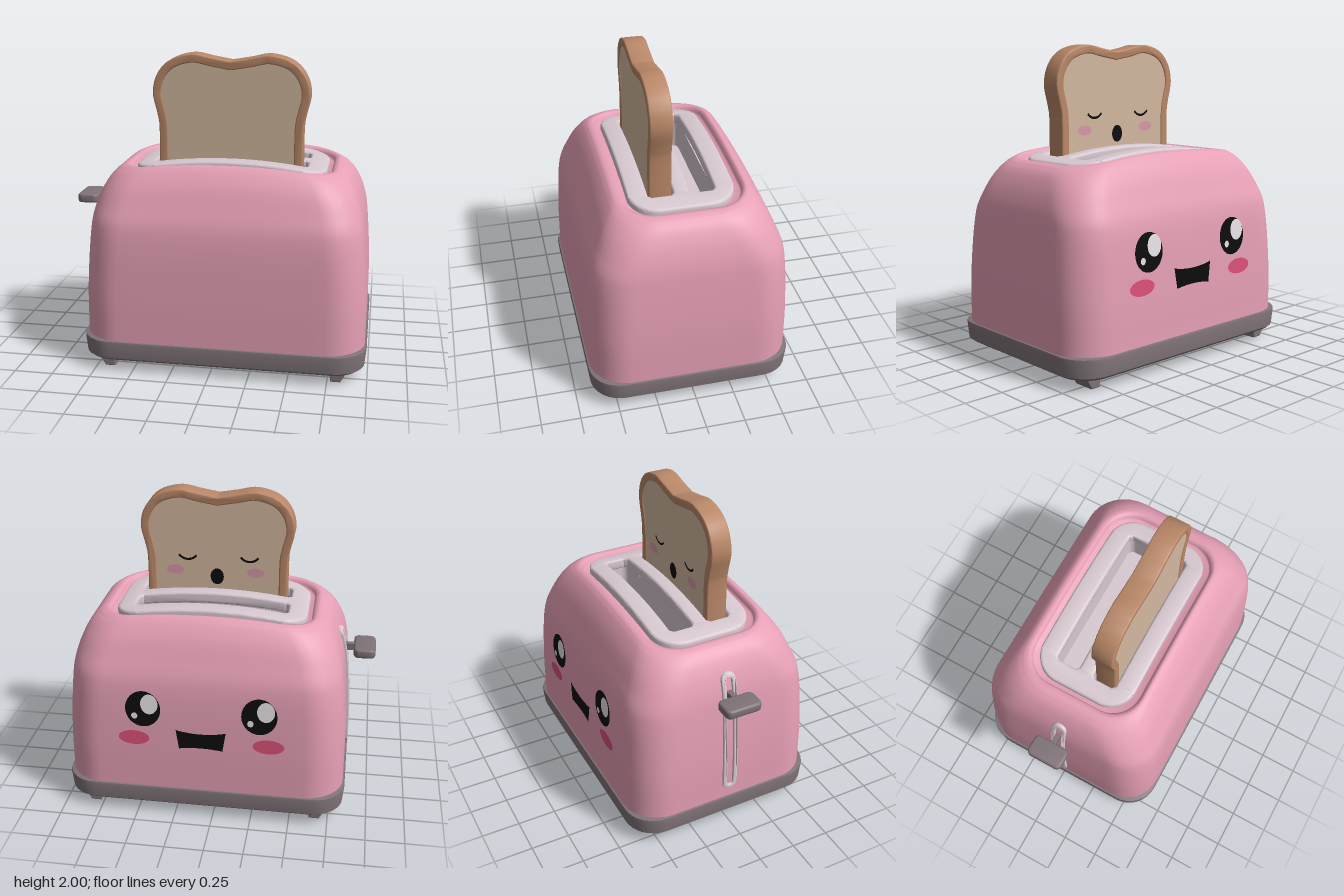
import * as THREE from 'three';
import { toCreasedNormals } from 'three/addons/utils/BufferGeometryUtils.js';

const mat = (name, color, side = THREE.FrontSide) => {
  const m = new THREE.MeshStandardMaterial({ color, side });
  m.name = name;
  return m;
};

const CX = 0.07; // the housing sits slightly off centre because of the lever
const V2 = (x, y) => new THREE.Vector2(x, y);

// Rounded rectangle outline with subdivided edges, counter-clockwise
function roundRect(hx, hy, r, edge = 14, corner = 8) {
  const pts = [];
  const centres = [[1, 1], [-1, 1], [-1, -1], [1, -1]];
  centres.forEach(([sx, sy], q) => {
    for (let i = 0; i <= corner; i++) {
      const a = (q + i / corner) * Math.PI / 2;
      pts.push(V2(sx * (hx - r) + r * Math.cos(a), sy * (hy - r) + r * Math.sin(a)));
    }
    const last = pts[pts.length - 1];
    const [nx, ny] = centres[(q + 1) % 4];
    const a = (q + 1) * Math.PI / 2;
    const next = V2(nx * (hx - r) + r * Math.cos(a), ny * (hy - r) + r * Math.sin(a));
    for (let i = 1; i < edge; i++) pts.push(last.clone().lerp(next, i / edge));
  });
  return pts;
}

// Skin over rounded-rectangle rings [hx, y, hz, r]; sag(x, y) lowers points
function loft(rings, { bottom = false, sag = () => 0 } = {}) {
  const pos = [], idx = [];
  let n = 0;
  rings.forEach(([hx, y, hz, r]) => {
    const pts = roundRect(hx, hz, r);
    n = pts.length;
    pts.forEach(p => pos.push(p.x, y - sag(p.x, y), p.y));
  });
  for (let j = 0; j < rings.length - 1; j++) for (let i = 0; i < n; i++) {
    const a = j * n + i, b = j * n + (i + 1) % n;
    idx.push(a, a + n, b, b, a + n, b + n);
  }
  if (bottom) {
    const c = pos.length / 3;
    pos.push(0, rings[0][1], 0);
    for (let i = 0; i < n; i++) idx.push(c, i, (i + 1) % n);
  }
  const g = new THREE.BufferGeometry();
  g.setAttribute('position', new THREE.Float32BufferAttribute(pos, 3));
  g.setIndex(idx);
  g.computeVertexNormals();
  return g;
}

// Move every vertex by a rule
function warp(g, rule) {
  const p = g.attributes.position, v = new THREE.Vector3();
  for (let i = 0; i < p.count; i++) {
    v.fromBufferAttribute(p, i);
    rule(v);
    p.setXYZ(i, v.x, v.y, v.z);
  }
  g.computeVertexNormals();
  return g;
}

// Extrusion with rounded edges that keeps the outline's size
const softExtrude = (shape, depth, b, curveSegments = 12) => new THREE.ExtrudeGeometry(shape, {
  depth: depth - 2 * b, bevelThickness: b, bevelSize: b, bevelOffset: -b, bevelSegments: 3, curveSegments,
}).translate(0, 0, b);

// Housing side profile: half width, height, half depth
const profile = new THREE.CatmullRomCurve3([
  [0.907, 0.19, 0.647], [0.903, 0.55, 0.641], [0.872, 0.95, 0.611], [0.847, 1.1, 0.56],
  [0.808, 1.22, 0.508], [0.762, 1.3, 0.455], [0.72, 1.328, 0.425],
].map(p => new THREE.Vector3(...p))).getPoints(40);

function profileAt(y) {
  const i = Math.max(1, profile.findIndex(p => p.y >= y));
  const a = profile[i - 1], b = profile[i];
  return a.clone().lerp(b, (y - a.y) / (b.y - a.y));
}
const bow = y => THREE.MathUtils.clamp((y - 0.95) / 0.35, 0, 1);

export function createModel() {
  const root = new THREE.Group();
  root.name = 'toaster';
  const M = {
    pink: mat('pink enamel', 0xe6a0b5),
    grey: mat('warm grey plastic', 0x7f7378),
    chrome: mat('pale metal', 0xd8c9d1, THREE.DoubleSide),
    crust: mat('crust', 0xba8868),
    crumb: mat('crumb', 0xd3b8a0),
    black: mat('black', 0x0b0b0b),
    white: mat('white', 0xf4eef2),
    blush: mat('blush', 0xdc5078),
    softBlush: mat('soft blush', 0xd89aa8),
  };
  const add = (name, geo, material, x = 0, y = 0, z = 0) => {
    const m = new THREE.Mesh(geo, material);
    m.name = name;
    m.position.set(x, y, z);
    root.add(m);
    return m;
  };

  // Housing with a rolled lip around the top plate
  const rings = profile.map(p => [p.x, p.y, p.z, 0.24]);
  rings.push([0.69, 1.337, 0.405, 0.22], [0.665, 1.332, 0.388, 0.2], [0.65, 1.31, 0.378, 0.19],
    [0.645, 1.285, 0.372, 0.19], [0.58, 1.28, 0.3, 0.15]);
  add('housing', loft(rings, { sag: (x, y) => 0.11 * x * x * bow(y) }), M.pink, CX);

  // Base tray
  add('base', toCreasedNormals(loft([[0.885, 0.072, 0.63, 0.18], [0.91, 0.09, 0.65, 0.2], [0.92, 0.19, 0.66, 0.21],
    [0.916, 0.205, 0.656, 0.2], [0.89, 0.212, 0.63, 0.19]], { bottom: true }), 0.5), M.grey, CX);

  // Four feet with a slanted outer side
  for (const sx of [1, -1]) for (const sz of [1, -1]) {
    const pts = [[0.7, 0], [0.765, 0], [0.815, 0.09], [0.7, 0.09]].map(([x, y]) => V2(sx * x, y));
    add('foot', softExtrude(new THREE.Shape(pts), 0.15, 0.008), M.grey, CX, 0, sz * 0.495 - 0.075);
  }

  // Bowed top plate: three long bars joined by two rounded, notched ends
  const bowAt = x => 1.343 - 0.16 * x * x;
  for (const [z, w] of [[-0.335, 0.125], [-0.05, 0.1], [0.21, 0.125]]) {
    const pts = [];
    for (let i = 0; i <= 32; i++) pts.push(V2(0.48 - i * 0.03, bowAt(0.48 - i * 0.03)));
    for (let i = 0; i <= 32; i++) pts.push(V2(-0.48 + i * 0.03, bowAt(-0.48 + i * 0.03) - 0.076));
    add('plateBar', toCreasedNormals(softExtrude(new THREE.Shape(pts), w, 0.016), 0.7), M.chrome, CX, 0, z);
  }
  const end = new THREE.Shape();
  end.moveTo(0.44, -0.335);
  end.absarc(0.44, -0.155, 0.18, -Math.PI / 2, 0);
  end.absarc(0.44, 0.155, 0.18, 0, Math.PI / 2);
  for (const [a, b] of [[0.21, 0.05], [-0.05, -0.21]]) {
    [[0.43, a], [0.475, a], [0.495, a - 0.02], [0.495, b + 0.02], [0.475, b], [0.43, b]].forEach(p => end.lineTo(...p));
  }
  end.lineTo(0.43, -0.335);
  for (const turn of [0, Math.PI]) {
    const g = softExtrude(end, 0.076, 0.016).rotateX(-Math.PI / 2).rotateY(turn);
    warp(g, v => { v.y += bowAt(v.x) - 0.076; });
    add('plateEnd', toCreasedNormals(g, 0.7), M.chrome, CX);
  }
  for (const s of [1, -1]) {
    const well = loft([[0.5, 1.05, 0.085, 0.04], [0.5, 1.255, 0.085, 0.04]], { bottom: true });
    add('slotWell', toCreasedNormals(well, 0.7), M.chrome, CX, 0, s * 0.13);
  }

  // Bread slice: crust ring around a slightly recessed crumb
  const half = new THREE.SplineCurve([[0.465, 1.3], [0.465, 1.53], [0.478, 1.62], [0.505, 1.75], [0.475, 1.87],
    [0.39, 1.96], [0.25, 2.0], [0.12, 1.978], [0, 1.957]].map(p => V2(...p)));
  const outlineAt = d => {
    const pts = [V2(0.465 - d, 1.07)];
    for (let i = 0; i <= 40; i++) {
      const p = half.getPoint(i / 40), t = half.getTangent(i / 40);
      if (i === 40) t.set(-1, 0);
      pts.push(V2(p.x - t.y * d, p.y + t.x * d));
    }
    return pts.concat(pts.slice(0, -1).reverse().map(p => V2(-p.x, p.y)));
  };
  const crust = new THREE.Shape(outlineAt(0));
  const inner = outlineAt(0.055);
  inner[0].y = inner[inner.length - 1].y = 1.1;
  crust.holes.push(new THREE.Path(inner));
  add('crust', toCreasedNormals(softExtrude(crust, 0.14, 0.008), 0.6), M.crust, CX, 0, 0.06);
  const crumbGeo = new THREE.ExtrudeGeometry(new THREE.Shape(outlineAt(0.05)), { depth: 0.126, bevelEnabled: false });
  add('crumb', crumbGeo, M.crumb, CX, 0, 0.067);

  // Thin painted details on the back; u runs to the viewer's right (-x)
  const decal = (name, shape, material, u, y, zAt) => {
    const g = new THREE.ShapeGeometry(shape, 24).translate(u, y, 0).rotateY(Math.PI);
    add(name, warp(g, v => { v.z = zAt(v.y); }), material, CX);
  };
  const ellipse = (rx, ry) => new THREE.Shape().absellipse(0, 0, rx, ry, 0, Math.PI * 2);
  const onBody = lift => y => -profileAt(y).z - lift;
  const onBread = () => 0.063;

  // Housing face
  for (const s of [-1, 1]) {
    decal('eye', ellipse(0.113, 0.122), M.black, s * 0.37, 0.775, onBody(0.007));
    decal('eyeHighlight', ellipse(0.056, 0.068), M.white, s * 0.37 + 0.042, 0.812, onBody(0.012));
    decal('eyeGlint', ellipse(0.02, 0.022), M.white, s * 0.37 - 0.054, 0.728, onBody(0.012));
    decal('cheek', ellipse(0.1, 0.05), M.blush, s * 0.432, 0.568, onBody(0.006));
  }
  const mouth = new THREE.Shape();
  mouth.moveTo(-0.16, 0.063);
  mouth.quadraticCurveTo(0, 0.025, 0.16, 0.063);
  mouth.lineTo(0.14, -0.068);
  mouth.quadraticCurveTo(0, -0.045, -0.14, -0.068);
  decal('mouth', mouth, M.black, 0, 0.58, onBody(0.007));

  // Sleepy bread face
  for (const s of [-1, 1]) {
    const lid = new THREE.Shape();
    lid.absarc(0, 0.055, 0.078, Math.PI * 1.2, Math.PI * 1.8, false);
    lid.absarc(0, 0.058, 0.066, Math.PI * 1.8, Math.PI * 1.2, true);
    decal('breadEyelid', lid, M.black, s * 0.205 + 0.01, 1.545, onBread);
    decal('breadCheek', ellipse(0.058, 0.033), M.softBlush, s * 0.268 - 0.012, 1.453, onBread);
  }
  decal('breadMouth', ellipse(0.044, 0.056), M.black, 0, 1.417, onBread);

  // Lever track following the curve of the side
  const track = new THREE.Shape(roundRect(0.05, 0.43, 0.045, 14, 5));
  track.holes.push(new THREE.Path(roundRect(0.022, 0.4, 0.02, 14, 5)));
  const trackGeo = softExtrude(track, 0.03, 0.006).rotateY(-Math.PI / 2).translate(0, 0.71, 0);
  warp(trackGeo, v => { v.x += CX + 0.014 - profileAt(v.y + 0.07 * bow(v.y)).x; });
  add('leverTrack', toCreasedNormals(trackGeo, 0.6), M.chrome);

  // Lever paddle and stem
  const paddle = softExtrude(new THREE.Shape(roundRect(0.071, 0.122, 0.035, 1, 5)), 0.06, 0.014).rotateX(-Math.PI / 2);
  add('leverPaddle', toCreasedNormals(paddle, 0.6), M.grey, -0.926, 0.97, -0.003);
  add('leverStem', new THREE.BoxGeometry(0.13, 0.045, 0.036), M.grey, -0.815, 1.0, 0);

  return root;
}
